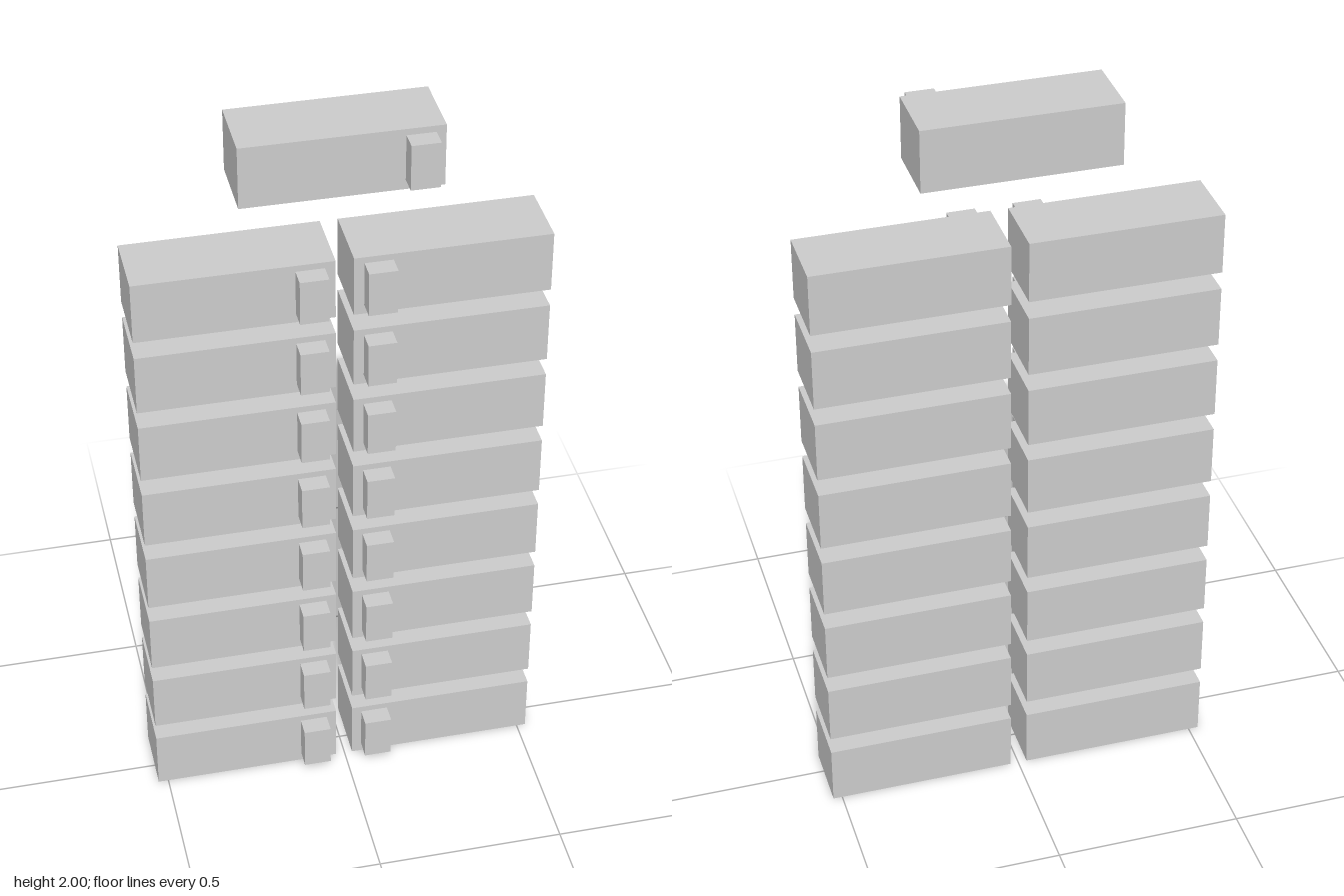
import * as THREE from 'three';

const W = 0.503, H = 0.165, D = 0.182; // block size
const HW = 0.073, HH = 0.122, HD = 0.05; // handle size
const FRONT = 0.066; // z of the block front faces

export function createModel() {
  const model = new THREE.Group();
  const material = new THREE.MeshStandardMaterial({ color: 0xcccccc, flatShading: true });
  const blockGeometry = new THREE.BoxGeometry(W, H, D);
  const handleGeometry = new THREE.BoxGeometry(HW, HH, HD);

  // One block with a small handle on its front, placed by its bottom centre
  function addDrawer(name, x, y, handleX) {
    const drawer = new THREE.Group();
    drawer.name = name;
    const block = new THREE.Mesh(blockGeometry, material);
    block.name = 'block';
    block.position.set(0, H / 2, FRONT - D / 2);
    const handle = new THREE.Mesh(handleGeometry, material);
    handle.name = 'handle';
    handle.position.set(handleX - x, 0.026 + HH / 2, FRONT + HD / 2);
    drawer.add(block, handle);
    drawer.position.set(x, y, 0);
    model.add(drawer);
  }

  // Two columns of eight, handles towards the middle gap
  for (let i = 0; i < 8; i++) {
    const y = i * 0.2128;
    addDrawer(`leftDrawer${i + 1}`, 0.273, y, 0.084);
    addDrawer(`rightDrawer${i + 1}`, -0.2755, y, -0.087);
  }

  // Single drawer floating above the columns
  addDrawer('topDrawer', -0.0075, 2 - H, 0.183);

  return model;
}
